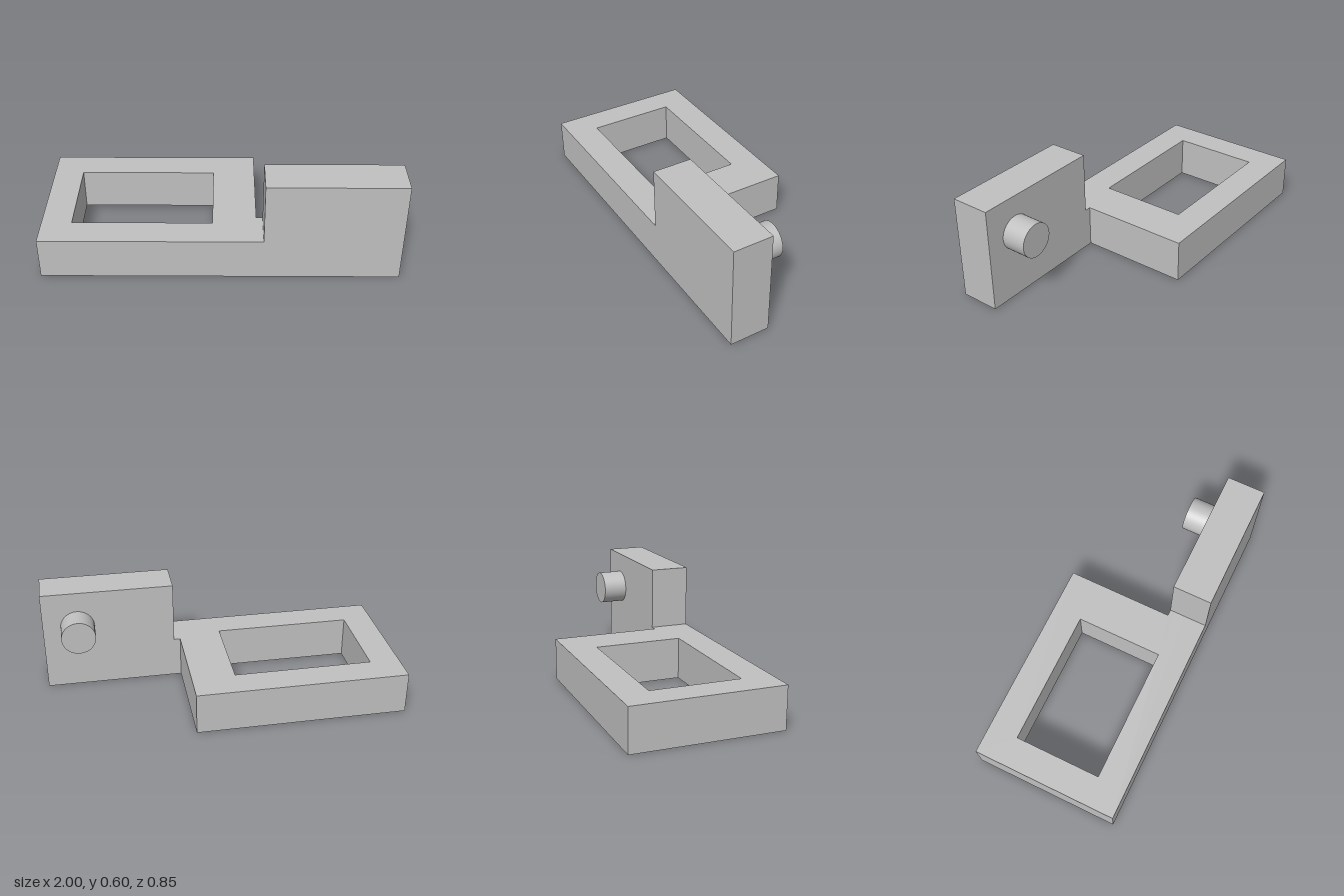
import * as THREE from 'three';

const BASE_H = 0.243, TOP = 0.6;   // frame height, upright height
const BACK = -0.425, FRONT = 0.425, PLATE_BACK = 0.2;

// Polygon from [x, z] points, laid out for extruding upwards
const outline = (Type, pts) => new Type(pts.map(([x, z]) => new THREE.Vector2(x, -z)));

export function createModel() {
  const model = new THREE.Group();
  model.name = 'latchBracket';
  const grey = new THREE.MeshStandardMaterial({ color: 0xc0c0c0 });
  grey.name = 'plain grey';

  const add = (name, geometry) => {
    const mesh = new THREE.Mesh(geometry, grey);
    mesh.name = name;
    model.add(mesh);
    return mesh;
  };

  // L-shaped base with a rectangular window
  const base = outline(THREE.Shape, [
    [-1, FRONT], [1, FRONT], [1, PLATE_BACK],
    [0.204, PLATE_BACK], [0.204, BACK], [-1, BACK],
  ]);
  base.holes.push(outline(THREE.Path, [
    [-0.83, 0.253], [-0.83, -0.253], [-0.042, -0.253], [-0.042, 0.253],
  ]));
  const baseGeometry = new THREE.ExtrudeGeometry(base, { depth: BASE_H, bevelEnabled: false });
  baseGeometry.rotateX(-Math.PI / 2);
  add('windowFrameBase', baseGeometry);

  // Upright plate standing on the arm of the base
  const plate = add('uprightPlate', new THREE.BoxGeometry(0.76, TOP - BASE_H, FRONT - PLATE_BACK));
  plate.position.set(0.62, (TOP + BASE_H) / 2, (FRONT + PLATE_BACK) / 2);

  // Round pin on the back of the plate
  const pinLength = 0.142;
  const pin = add('pin', new THREE.CylinderGeometry(0.098, 0.098, pinLength, 64));
  pin.rotation.x = Math.PI / 2;
  pin.position.set(0.8, 0.386, PLATE_BACK - pinLength / 2);

  return model;
}
